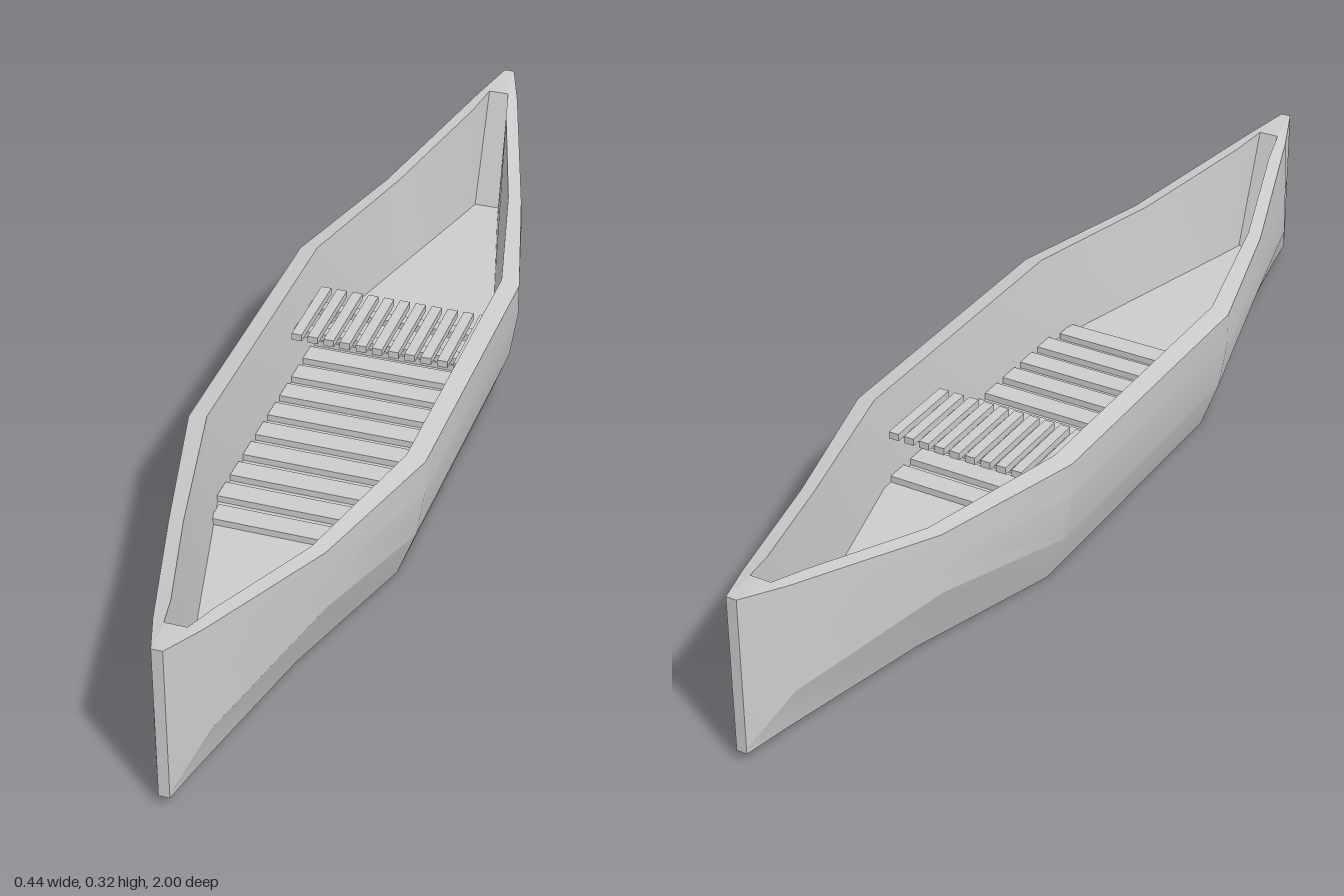
import * as THREE from 'three';
import { toCreasedNormals } from 'three/addons/utils/BufferGeometryUtils.js';

const material = new THREE.MeshStandardMaterial({ color: 0xcccccc });

// Half sections from midships to the stem: keel edge, chine, upper strake,
// outer rim, inner rim, floor edge. Each point is [x, y, z].
const sections = [
  [[0.17, 0, 0.3], [0.205, 0.095, 0.3], [0.22, 0.19, 0.3], [0.22, 0.255, 0.3], [0.185, 0.262, 0.3], [0.17, 0.08, 0.3]],
  [[0.085, 0.008, 0.6], [0.14, 0.14, 0.6], [0.142, 0.2, 0.6], [0.14, 0.257, 0.6], [0.113, 0.262, 0.6], [0.091, 0.08, 0.6]],
  [[0.025, 0.017, 0.91], [0.05, 0.104, 0.91], [0.048, 0.2, 0.91], [0.043, 0.308, 0.91], [0.036, 0.302, 0.85], [0.04, 0.08, 0.79]],
  [[0.01, 0.02, 1], [0.01, 0.03, 1], [0.01, 0.18, 1], [0.01, 0.325, 1], [0.02, 0.314, 0.92], [0.025, 0.08, 0.85]],
];

// Shell lofted through closed rings, with each end zipped shut as stem, deck and inner wall
function hullGeometry() {
  const flip = (s) => s.map(([x, y, z]) => [x, y, -z]);
  const halves = [...sections.slice().reverse().map(flip), ...sections];
  const rings = halves.map((h) => [...h, ...h.slice().reverse().map(([x, y, z]) => [-x, y, z])]);
  const n = rings[0].length;
  const index = [];
  const quad = (a, b, c, d) => index.push(a, b, c, a, c, d);
  for (let k = 0; k < rings.length - 1; k++) {
    for (let i = 0; i < n; i++) {
      const j = (i + 1) % n;
      quad(k * n + i, k * n + j, (k + 1) * n + j, (k + 1) * n + i);
    }
  }
  const last = (rings.length - 1) * n;
  for (let i = 0; i < n / 2 - 1; i++) {
    quad(last + i, last + i + 1, last + n - 2 - i, last + n - 1 - i);
    quad(n - 1 - i, n - 2 - i, i + 1, i);
  }
  const geometry = new THREE.BufferGeometry();
  geometry.setAttribute('position', new THREE.Float32BufferAttribute(rings.flat(2), 3));
  geometry.setIndex(index);
  return toCreasedNormals(geometry, 0.3);
}

function addBox(parent, name, size, position) {
  const mesh = new THREE.Mesh(new THREE.BoxGeometry(...size), material);
  mesh.name = name;
  mesh.position.set(...position);
  parent.add(mesh);
}

export function createModel() {
  const boat = new THREE.Group();
  boat.name = 'boat';

  const hull = new THREE.Mesh(hullGeometry(), material);
  hull.name = 'hull';
  boat.add(hull);

  // Floor slats across the boat, shortened where the hull tapers
  const floor = new THREE.Group();
  floor.name = 'floorSlats';
  for (let i = 0; i < 10; i++) {
    const z = 0.347 - i * 0.067;
    const half = 0.17 - Math.max(0, Math.abs(z) - 0.3) * 0.26;
    addBox(floor, 'floorSlat', [half * 2, 0.014, 0.044], [0, 0.086, z]);
  }
  boat.add(floor);

  // Seat: lengthwise slats resting on two crossbars
  const seat = new THREE.Group();
  seat.name = 'seat';
  for (let i = 0; i < 11; i++) {
    addBox(seat, 'seatSlat', [0.02, 0.014, 0.175], [(i - 5) * 0.032, 0.182, -0.192]);
  }
  for (const z of [-0.235, -0.15]) {
    addBox(seat, 'seatCrossbar', [0.355, 0.014, 0.024], [0, 0.169, z]);
  }
  boat.add(seat);

  return boat;
}
